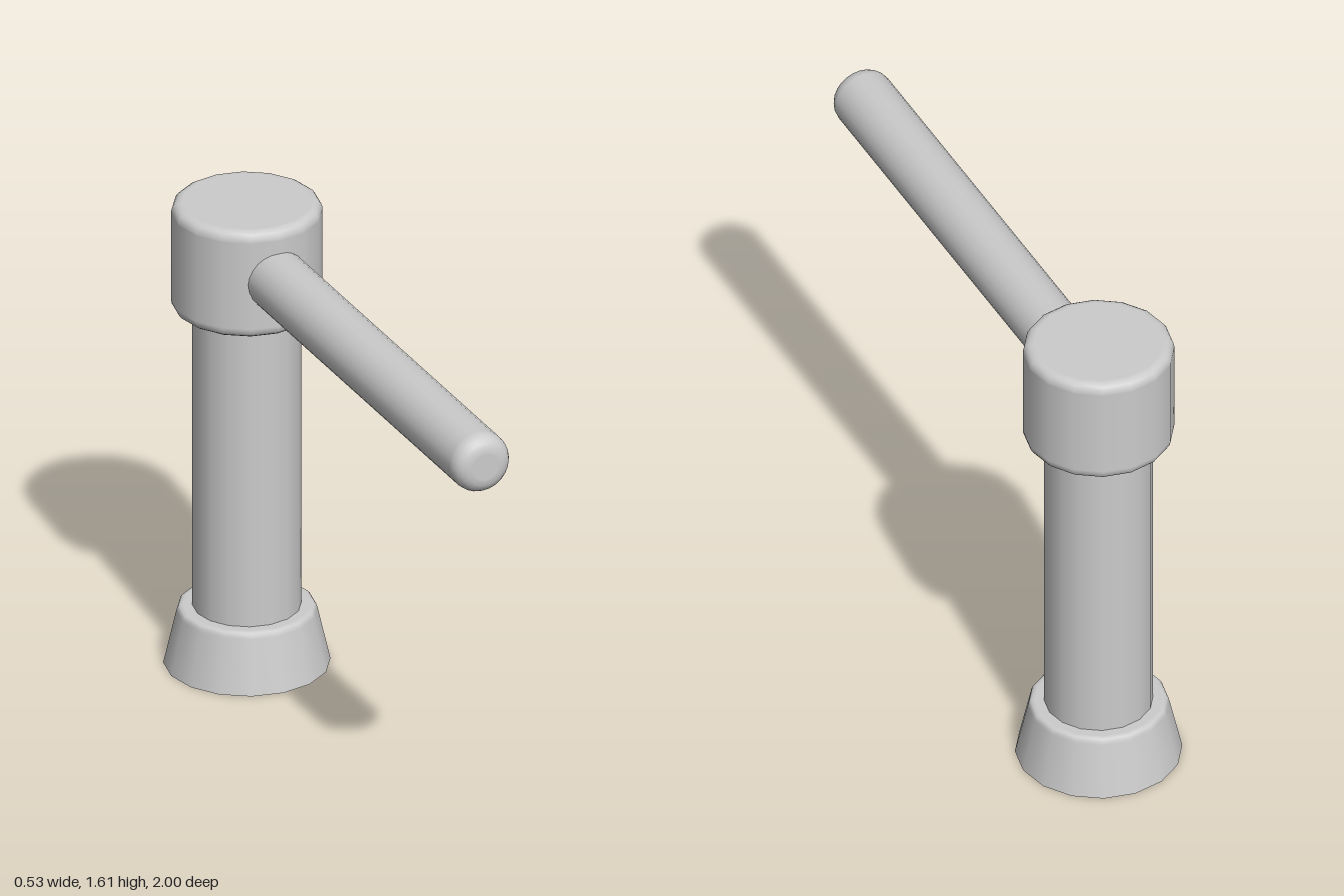
import * as THREE from 'three';

const AXIS_Z = -0.735;

// Quarter-round corner between two profile edges
function roundCorner(cx, cy, r, from, to, steps = 4) {
  return Array.from({ length: steps + 1 }, (_, i) => {
    const a = THREE.MathUtils.degToRad(from + ((to - from) * i) / steps);
    return [cx + r * Math.cos(a), cy + r * Math.sin(a)];
  });
}

function turned(name, profile, segments, material) {
  const points = profile.map(([r, y]) => new THREE.Vector2(r, y));
  const mesh = new THREE.Mesh(new THREE.LatheGeometry(points, segments), material);
  mesh.name = name;
  return mesh;
}

export function createModel() {
  const group = new THREE.Group();
  const material = new THREE.MeshStandardMaterial({ color: 0xcccccc, side: THREE.DoubleSide });

  // Flared foot, open underneath, with a narrow shelf around the column
  const base = turned('base', [
    [0.265, 0], [0.224, 0.18], [0.221, 0.19], [0.216, 0.197], [0.207, 0.2], [0.2, 0.2], [0.172, 0.2],
  ], 16, material);

  // Hollow upright
  const column = turned('column', [[0.173, 0.2], [0.173, 1.26]], 16, material);

  // Rounded cap block
  const bevel = 0.03;
  const head = turned('head', [
    [0, 1.24], [0.205, 1.24],
    ...roundCorner(0.24 - bevel, 1.24 + bevel, bevel, -90, 0),
    [0.24, 1.275], [0.24, 1.575],
    ...roundCorner(0.24 - bevel, 1.61 - bevel, bevel, 0, 90),
    [0.205, 1.61], [0, 1.61],
  ], 16, material);

  for (const part of [base, column, head]) {
    part.position.z = AXIS_Z;
    group.add(part);
  }

  // Round-ended arm reaching forward from inside the head
  const arm = turned('arm', [
    [0, -0.7], [0.1, -0.7], [0.1, -0.69], [0.1, 0.945],
    ...roundCorner(0.05, 0.95, 0.05, 0, 90, 5),
    [0.045, 1], [0, 1],
  ], 24, material);
  arm.geometry.rotateX(Math.PI / 2);
  arm.position.y = 1.43;
  group.add(arm);

  return group;
}
